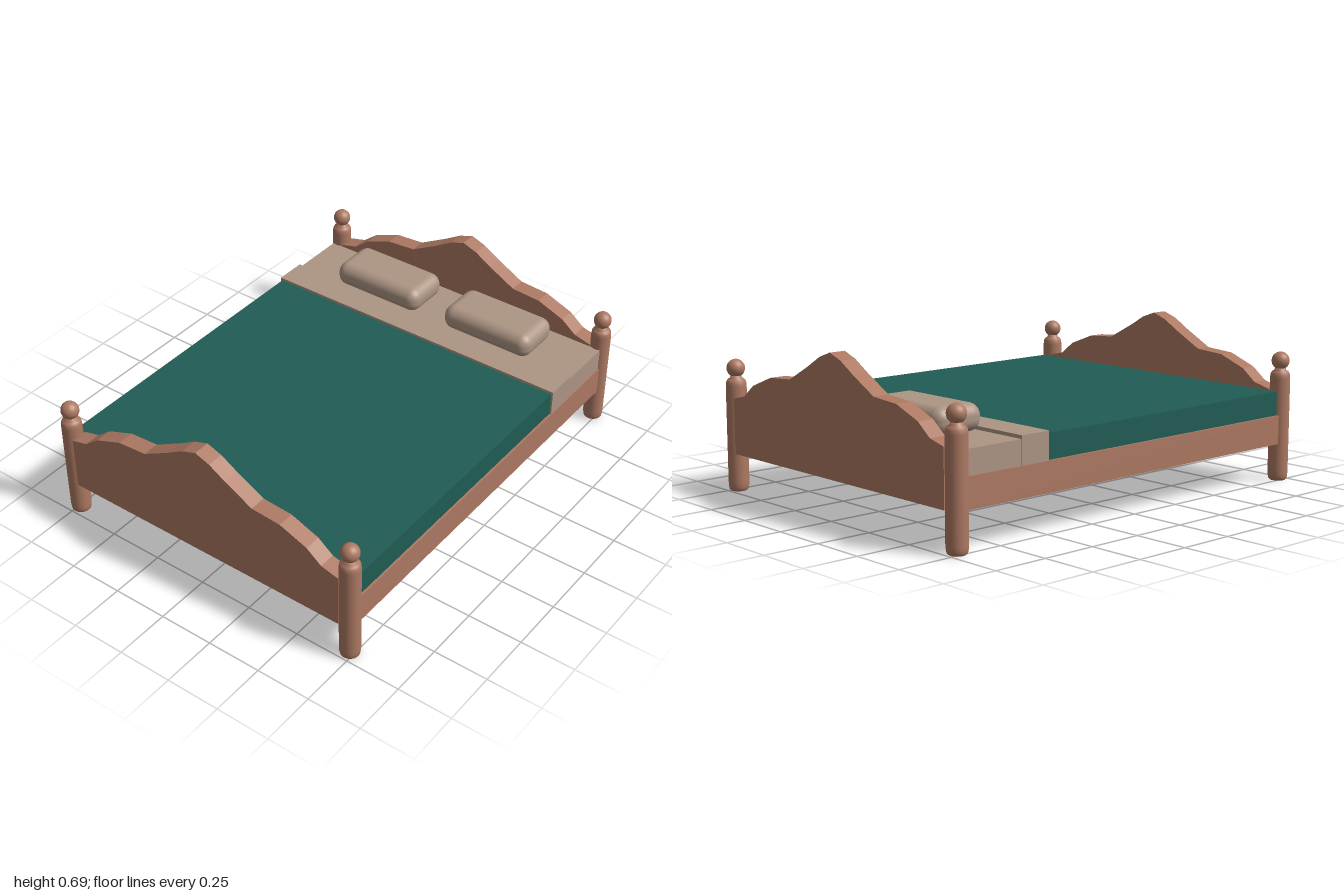
import * as THREE from 'three';
import { RoundedBoxGeometry } from 'three/addons/geometries/RoundedBoxGeometry.js';

const wood = new THREE.MeshStandardMaterial({ color: 0xad7963 });
const linen = new THREE.MeshStandardMaterial({ color: 0xad9584 });
const green = new THREE.MeshStandardMaterial({ color: 0x205c55 });

function add(parent, name, geometry, material, x = 0, y = 0, z = 0) {
  const mesh = new THREE.Mesh(geometry, material);
  mesh.name = name;
  mesh.position.set(x, y, z);
  parent.add(mesh);
  return mesh;
}

// Box given by half width, height range and depth range
function slab(parent, name, material, halfX, y0, y1, z0, z1) {
  const geometry = new THREE.BoxGeometry(halfX * 2, y1 - y0, z1 - z0);
  return add(parent, name, geometry, material, 0, (y0 + y1) / 2, (z0 + z1) / 2);
}

// End board with a wavy, mirrored top edge
function endBoardGeometry() {
  const half = [
    [0.07, 0.668], [0.15, 0.62], [0.28, 0.55], [0.42, 0.54],
    [0.55, 0.49], [0.62, 0.435], [0.7, 0.415], [0.7, 0.17],
  ];
  const right = half.map(([x, y]) => new THREE.Vector2(x, y));
  const left = half.map(([x, y]) => new THREE.Vector2(-x, y)).reverse();
  const outline = [...left, new THREE.Vector2(0, 0.693), ...right];
  const depth = 0.075;
  return new THREE.ExtrudeGeometry(new THREE.Shape(outline), { depth, bevelEnabled: false })
    .translate(0, 0, -depth / 2);
}

// Turned post with rounded ends, and a narrow neck under the ball
function postGeometry() {
  const profile = [
    [0, 0], [0.034, 0], [0.041, 0.006], [0.044, 0.022], [0.045, 0.04],
    [0.045, 0.465], [0.043, 0.483], [0.037, 0.493], [0.026, 0.5], [0.022, 0.515], [0, 0.52],
  ];
  return new THREE.LatheGeometry(profile.map(([x, y]) => new THREE.Vector2(x, y)), 24);
}

export function createModel() {
  const bed = new THREE.Group();
  bed.name = 'bed';

  // Frame
  slab(bed, 'bedFrame', wood, 0.76, 0.17, 0.3, -0.925, 0.925);
  const board = endBoardGeometry();
  add(bed, 'headboard', board, wood, 0, 0, -0.953);
  add(bed, 'footboard', board, wood, 0, 0, 0.953);

  // Corner posts with ball finials
  const post = postGeometry();
  const ball = new THREE.SphereGeometry(0.04, 24, 16);
  for (const x of [-0.733, 0.733]) {
    for (const z of [-0.955, 0.955]) {
      const corner = new THREE.Group();
      corner.name = 'cornerPost';
      corner.position.set(x, 0, z);
      add(corner, 'post', post, wood);
      add(corner, 'finial', ball, wood, 0, 0.542, 0);
      bed.add(corner);
    }
  }

  // Bedding
  slab(bed, 'mattress', linen, 0.755, 0.3, 0.405, -0.915, -0.645);
  slab(bed, 'foldedSheet', linen, 0.758, 0.3, 0.42, -0.645, -0.5);
  slab(bed, 'blanket', green, 0.75, 0.3, 0.408, -0.5, 0.916);

  // Pillows
  const pillow = new RoundedBoxGeometry(0.46, 0.117, 0.24, 6, 0.052);
  for (const x of [-0.303, 0.303]) {
    add(bed, 'pillow', pillow, linen, x, 0.46, -0.753);
  }
  return bed;
}
